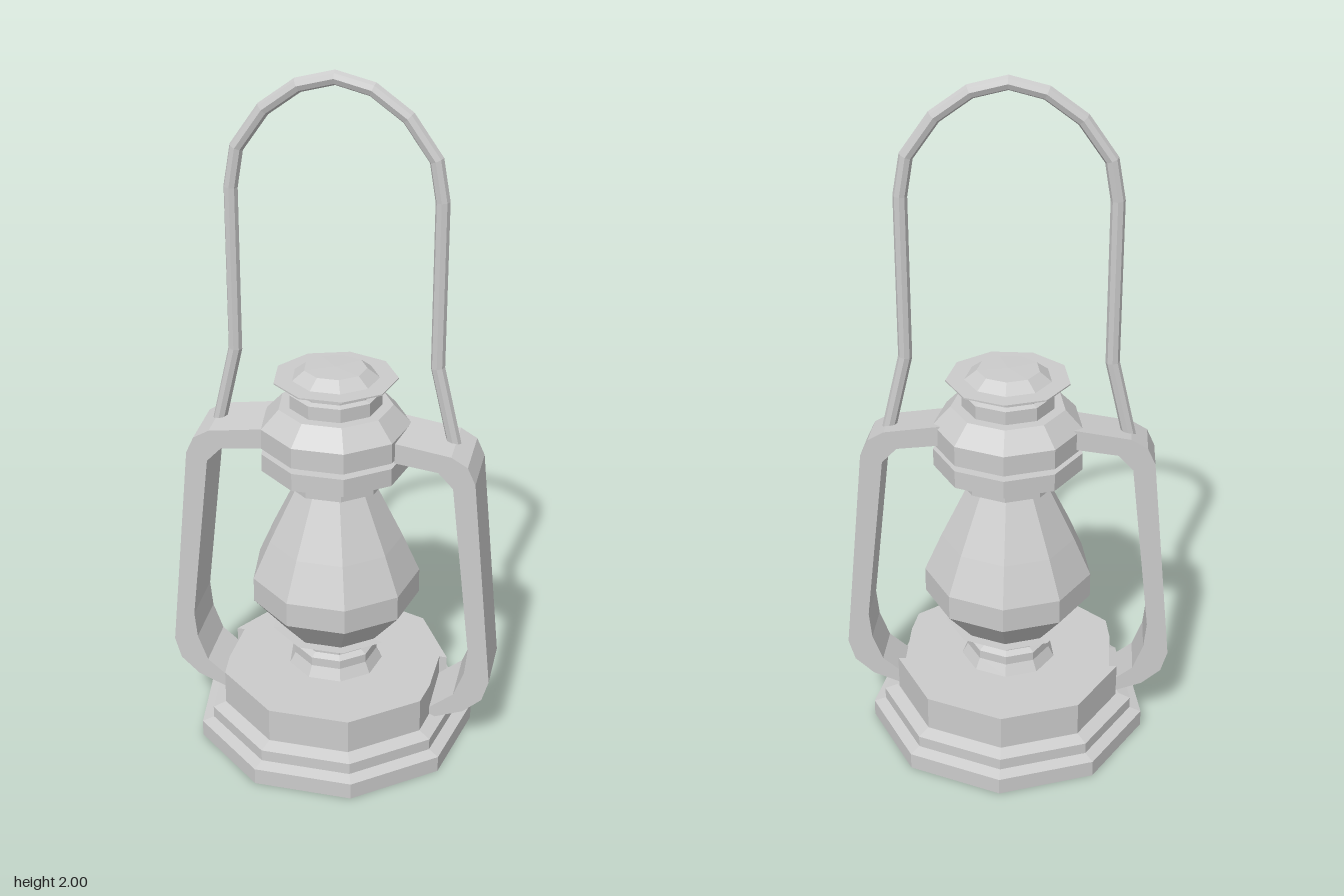
import * as THREE from 'three';

const SIDES = 9;
const AXIS_Z = 0.0125; // nine-sided parts sit slightly forward so the whole is centred
const material = new THREE.MeshStandardMaterial({ color: 0xcccccc, flatShading: true });

function part(name, geometry) {
  const mesh = new THREE.Mesh(geometry, material);
  mesh.name = name;
  return mesh;
}

// Nine-sided turned part, one corner pointing to the back; profile is [radius, y] upwards
function turned(name, profile) {
  const pts = profile.map(([r, y]) => new THREE.Vector2(r, y));
  return part(name, new THREE.LatheGeometry(pts, SIDES, Math.PI));
}

const shapeOf = (pts) => new THREE.Shape(pts.map(([x, y]) => new THREE.Vector2(x, y)));

// Fuel tank: a nine-sided prism with shallow notches where the side frames meet it
function tankGeometry(r, y0, y1) {
  const pts = [];
  for (let i = 0; i < SIDES; i++) {
    const a = (i * 2 * Math.PI) / SIDES;
    const x = r * Math.sin(a), y = r * Math.cos(a);
    const notch = [[0.333, 0.067], [0.31, 0.067], [0.31, -0.088]];
    if (i === 2) pts.push(...notch);
    else if (i === 7) pts.push(...notch.reverse().map(([u, v]) => [-u, v]));
    else pts.push([x, y]);
  }
  const g = new THREE.ExtrudeGeometry(shapeOf(pts), { depth: y1 - y0, bevelEnabled: false });
  return g.rotateX(-Math.PI / 2).translate(0, y0, 0);
}

// Flat side frame from tank to cap, its ends leaning slightly up toward the back
function frameGeometry(side) {
  const outer = [[0.29, 0.1], [0.31, 0.105], [0.41, 0.145], [0.465, 0.195], [0.484, 0.26],
    [0.42, 0.905], [0.397, 0.955], [0.35, 0.982], [0.19, 1.005]];
  const inner = [[0.19, 0.945], [0.315, 0.93], [0.358, 0.885], [0.418, 0.36],
    [0.41, 0.28], [0.38, 0.2], [0.31, 0.143], [0.29, 0.135]];
  const pts = [...outer, ...inner].map(([x, y]) => [x * side, y]);
  const depth = 0.155;
  const g = new THREE.ExtrudeGeometry(shapeOf(pts), { depth, bevelEnabled: false });
  g.translate(0, 0, -depth / 2);
  const p = g.attributes.position;
  for (let i = 0; i < p.count; i++) p.setY(i, p.getY(i) - 0.12 * p.getZ(i));
  g.translate(0, 0, 0.0225);
  g.computeVertexNormals();
  return g;
}

// Path that keeps every corner, with mitred tangents
class CornerPath extends THREE.Curve {
  constructor(points) {
    super();
    this.points = points;
  }
  getPoint(t, target = new THREE.Vector3()) {
    const n = this.points.length - 1;
    const i = Math.min(Math.floor(t * n + 1e-6), n - 1);
    return target.lerpVectors(this.points[i], this.points[i + 1], t * n - i);
  }
  getPointAt(u, target) {
    return this.getPoint(u, target);
  }
  getTangentAt(u, target = new THREE.Vector3()) {
    const pts = this.points, n = pts.length - 1, i = Math.round(u * n);
    target.set(0, 0, 0);
    if (i > 0) target.add(pts[i].clone().sub(pts[i - 1]).normalize());
    if (i < n) target.add(pts[i + 1].clone().sub(pts[i]).normalize());
    return target.normalize();
  }
}

function handleGeometry() {
  const half = [[0.345, 0.965], [0.29, 1.2], [0.29, 1.67], [0.271, 1.78], [0.195, 1.887], [0.1, 1.955]];
  const right = half.map(([x, y]) => new THREE.Vector3(x, y, 0));
  const left = half.map(([x, y]) => new THREE.Vector3(-x, y, 0)).reverse();
  const points = [...right, new THREE.Vector3(0, 1.98, 0), ...left];
  return new THREE.TubeGeometry(new CornerPath(points), points.length - 1, 0.02, 8);
}

export function createModel() {
  const model = new THREE.Group();
  model.name = 'lantern';

  const body = new THREE.Group();
  body.name = 'lanternBody';
  body.position.z = AXIS_Z;
  model.add(body);

  // Stepped foot and tank
  body.add(turned('base', [[0, 0], [0.418, 0], [0.418, 0.05], [0.383, 0.06], [0.383, 0.095],
    [0.345, 0.108], [0, 0.108]]));
  body.add(part('fuelTank', tankGeometry(0.344, 0.1, 0.212)));

  // Burner with its flared plate
  body.add(turned('burner', [[0, 0.205], [0.142, 0.212], [0.125, 0.245], [0.125, 0.272],
    [0.106, 0.282], [0.106, 0.31], [0.12, 0.315], [0.192, 0.345], [0, 0.335]]));

  // Glass globe
  body.add(turned('globe', [[0, 0.31], [0.13, 0.31], [0.249, 0.45], [0.249, 0.525],
    [0.198, 0.64], [0.115, 0.81], [0, 0.81]]));

  // Banded cap
  body.add(turned('cap', [[0, 0.822], [0.15, 0.822], [0.15, 0.875], [0.217, 0.875], [0.217, 0.928],
    [0.185, 0.928], [0.185, 0.945], [0.217, 0.945], [0.217, 1.005], [0.165, 1.06], [0, 1.06]]));

  // Chimney with a thin brim
  body.add(turned('chimney', [[0, 1.055], [0.133, 1.055], [0.133, 1.1], [0.115, 1.105],
    [0.115, 1.13], [0.178, 1.139], [0.178, 1.143], [0.125, 1.143], [0.09, 1.17], [0, 1.172]]));

  // Carrying handle
  body.add(part('handle', handleGeometry()));

  // Side frames
  model.add(part('leftFrame', frameGeometry(1)), part('rightFrame', frameGeometry(-1)));
  return model;
}
